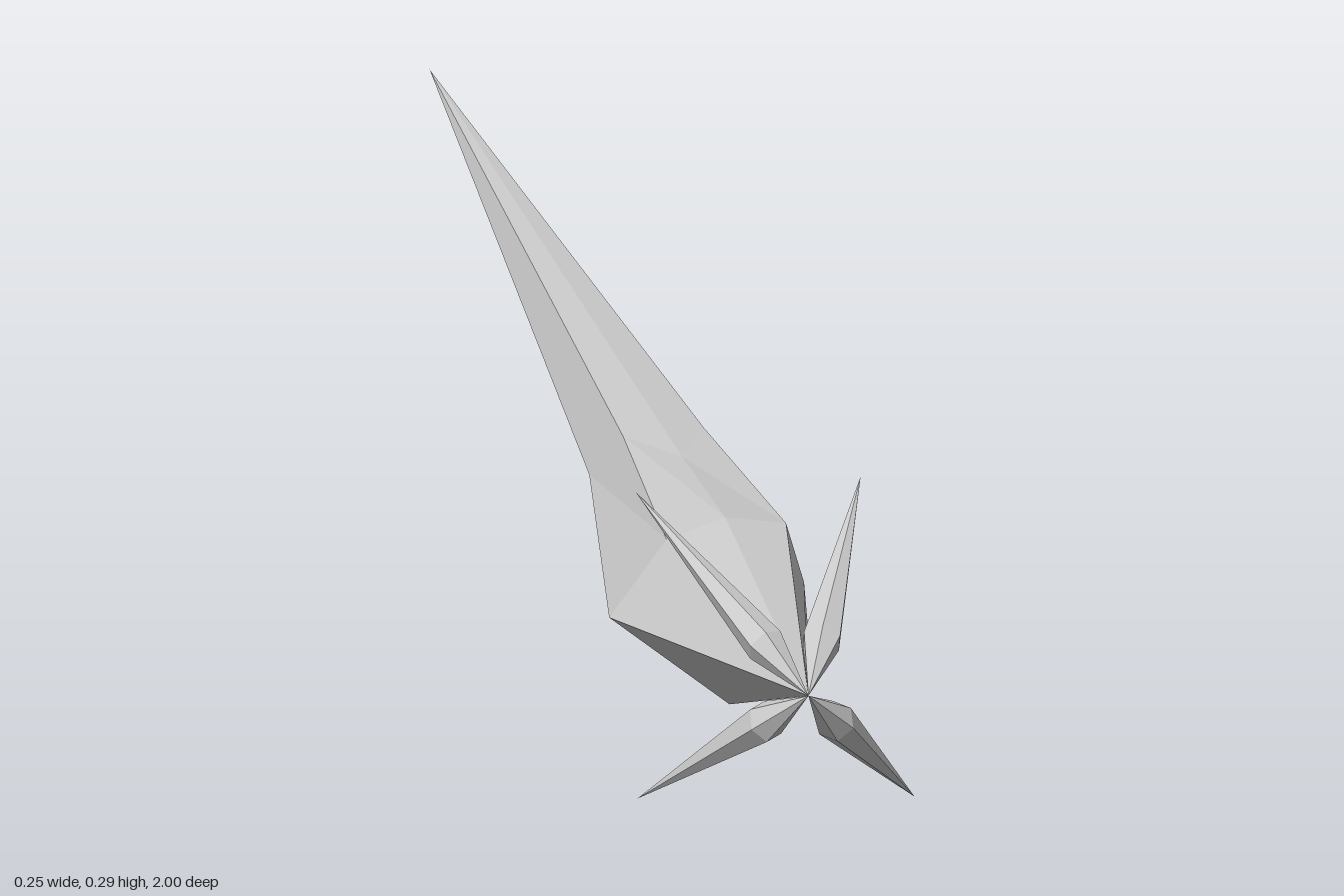
import * as THREE from 'three';

const material = new THREE.MeshStandardMaterial({ color: 0xcccccc, flatShading: true });

// Loft through a list of rings (counter-clockwise seen from the start), closed by a point at each end
function spindle(name, start, rings, end) {
  const pos = [];
  const tri = (...pts) => pts.forEach((p) => pos.push(...p));
  const n = rings[0].length;
  const last = rings[rings.length - 1];
  for (let i = 0; i < n; i++) {
    const j = (i + 1) % n;
    tri(start, rings[0][i], rings[0][j]);
    for (let r = 0; r < rings.length - 1; r++) {
      const a = rings[r], b = rings[r + 1];
      tri(a[i], b[i], b[j]);
      tri(a[i], b[j], a[j]);
    }
    tri(last[i], end, last[j]);
  }
  const geometry = new THREE.BufferGeometry();
  geometry.setAttribute('position', new THREE.Float32BufferAttribute(pos, 3));
  geometry.computeVertexNormals();
  const mesh = new THREE.Mesh(geometry, material);
  mesh.name = name;
  return mesh;
}

// Slim six-sided barb, widest a quarter of the way to its tip
function barb(name, base, tip) {
  const a = new THREE.Vector3(...base);
  const b = new THREE.Vector3(...tip);
  const dir = b.clone().sub(a).normalize();
  const u = new THREE.Vector3(-dir.y, dir.x, 0).normalize();
  const v = new THREE.Vector3().crossVectors(dir, u);
  const centre = a.clone().lerp(b, 0.25);
  const ring = [];
  for (let i = 0; i < 6; i++) {
    const t = (-i / 6) * Math.PI * 2;
    ring.push(centre.clone()
      .addScaledVector(u, 0.018 * Math.cos(t))
      .addScaledVector(v, 0.02 * Math.sin(t)).toArray());
  }
  return spindle(name, base, [ring], tip);
}

export function createModel() {
  const group = new THREE.Group();
  group.name = 'barbedSpike';
  const nose = [0, 0.152, 1];

  // Long irregular shaft: widest ring, then a narrower waist, then the tail point
  const wide = [
    [0.003, 0.008, 0.545], [0.075, 0.055, 0.54], [0.07, 0.115, 0.54], [0.054, 0.17, 0.54],
    [0, 0.178, 0.54], [-0.052, 0.16, 0.54], [-0.103, 0.091, 0.54],
  ];
  const waist = [
    [0, 0.055, 0.15], [0.051, 0.075, 0.15], [0.047, 0.117, 0.15], [0.036, 0.156, 0.2],
    [0, 0.162, 0.3], [-0.036, 0.152, 0.2], [-0.058, 0.103, 0.15],
  ];
  group.add(spindle('shaft', nose, [wide, waist], [-0.015, 0.128, -1]));

  // Four barbs swept back from the nose
  const barbs = {
    upperRightBarb: [-0.123, 0.288, 0.81],
    upperLeftBarb: [0.08, 0.286, 0.79],
    lowerRightBarb: [-0.123, 0.01, 0.82],
    lowerLeftBarb: [0.123, 0, 0.82],
  };
  for (const [name, tip] of Object.entries(barbs)) group.add(barb(name, nose, tip));
  return group;
}
